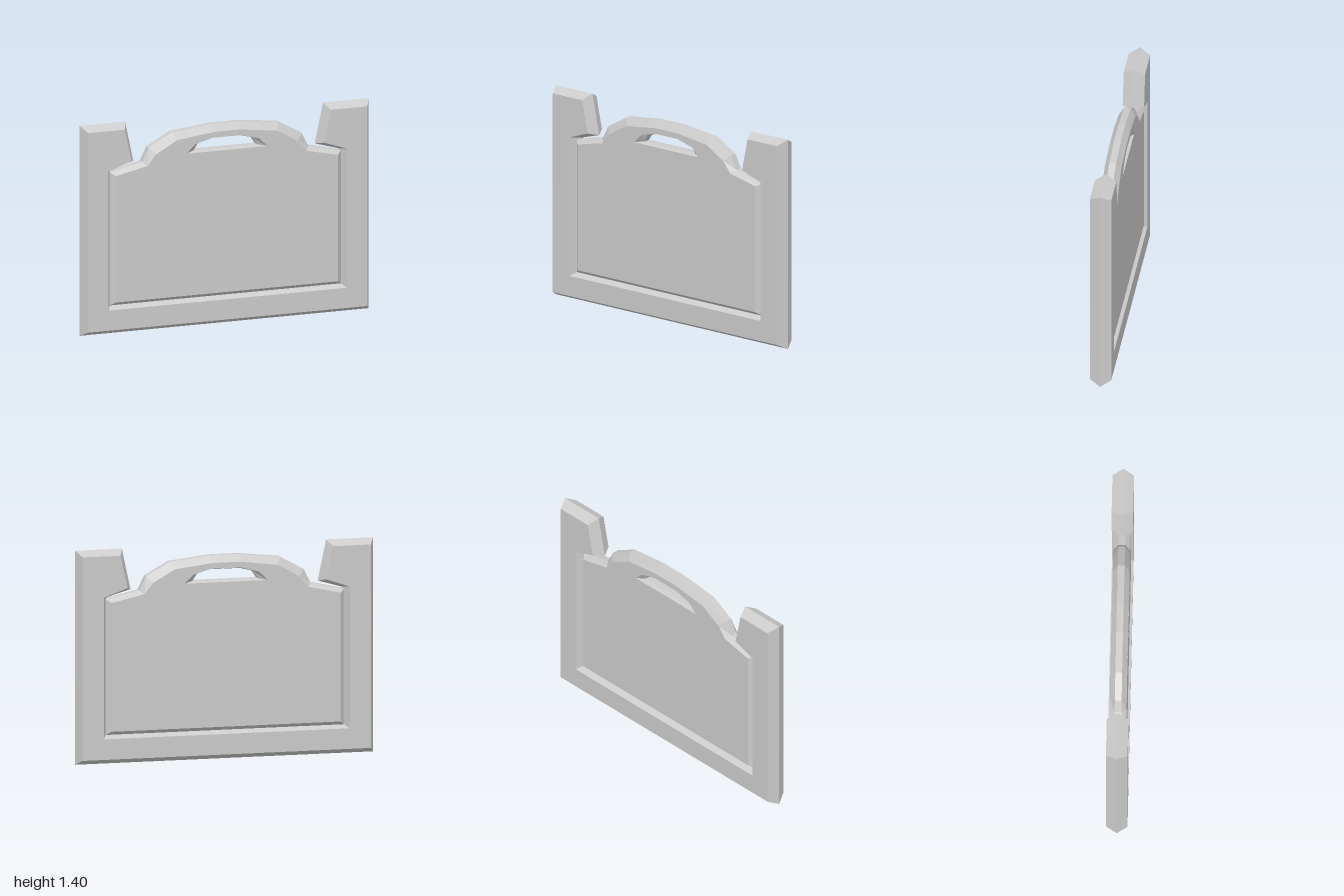
import * as THREE from 'three';

const material = new THREE.MeshStandardMaterial({ color: 0xcccccc, flatShading: true });

// Completes a right-half outline (bottom to top) with its mirror image
const mirror = (half) => [...half, ...half.slice().reverse().map(([x, y]) => [-x, y])];

// Lofts a plate through layers { z, loops }, back to front, and caps both ends.
// loops[0] is the counter-clockwise outline, the others are clockwise holes.
function loftPlate(name, layers) {
  const positions = [];
  const put = (...corners) => corners.forEach((c) => positions.push(...c));

  for (let l = 0; l < layers.length - 1; l++) {
    const a = layers[l], b = layers[l + 1];
    a.loops.forEach((loop, k) => loop.forEach((p, i) => {
      const j = (i + 1) % loop.length;
      const a0 = [...p, a.z], a1 = [...loop[j], a.z];
      const b0 = [...b.loops[k][i], b.z], b1 = [...b.loops[k][j], b.z];
      put(a0, a1, b1, a0, b1, b0);
    }));
  }

  const cap = (layer, flip) => {
    const loops = layer.loops.map((loop) => loop.map(([x, y]) => new THREE.Vector2(x, y)));
    const points = layer.loops.flat().map((p) => [...p, layer.z]);
    for (const [a, b, c] of THREE.ShapeUtils.triangulateShape(loops[0], loops.slice(1))) {
      if (flip) put(points[a], points[c], points[b]);
      else put(points[a], points[b], points[c]);
    }
  };
  cap(layers[0], true);
  cap(layers[layers.length - 1], false);

  const geometry = new THREE.BufferGeometry();
  geometry.setAttribute('position', new THREE.Float32BufferAttribute(positions, 3));
  geometry.computeVertexNormals();
  const mesh = new THREE.Mesh(geometry, material);
  mesh.name = name;
  return mesh;
}

export function createModel() {
  const model = new THREE.Group();
  model.name = 'framedPanel';

  // U-shaped frame with a pointed ridge all the way round its edge
  const frameRidge = mirror([[1, 0], [1, 1.405], [0.685, 1.405], [0.628, 1.137], [0.79, 1.09], [0.79, 0.2]]);
  const frameFace = mirror([[0.967, 0.035], [0.967, 1.37], [0.713, 1.37], [0.666, 1.155], [0.825, 1.1], [0.825, 0.17]]);
  model.add(loftPlate('frame', [
    { z: -0.07, loops: [frameFace] },
    { z: 0, loops: [frameRidge] },
    { z: 0.07, loops: [frameFace] },
  ]));

  // Panel with sloping shoulders and an arched carrying handle on top
  const panelEdge = mirror([[0.8, 0.19], [0.8, 1.08], [0.575, 1.13], [0.53, 1.22], [0.37, 1.308], [0.1, 1.338]]);
  const panelFace = mirror([[0.768, 0.215], [0.768, 1.06], [0.55, 1.108], [0.49, 1.18], [0.345, 1.262], [0.09, 1.293]]);

  // Grip opening, narrower in the middle of its thickness
  const gripEdge = mirror([[0.1, 1.247], [0.185, 1.225], [0.22, 1.175]]).reverse();
  const gripFace = mirror([[0.1, 1.255], [0.22, 1.222], [0.28, 1.165]]).reverse();
  // Clockwise order is needed for a hole
  const clockwise = (loop) => {
    const area = THREE.ShapeUtils.area(loop.map(([x, y]) => new THREE.Vector2(x, y)));
    return area > 0 ? loop.slice().reverse() : loop;
  };
  const edge = [panelEdge, clockwise(gripEdge)];
  const face = [panelFace, clockwise(gripFace)];
  model.add(loftPlate('panelWithHandle', [
    { z: -0.055, loops: face },
    { z: -0.022, loops: edge },
    { z: 0.022, loops: edge },
    { z: 0.055, loops: face },
  ]));

  return model;
}
